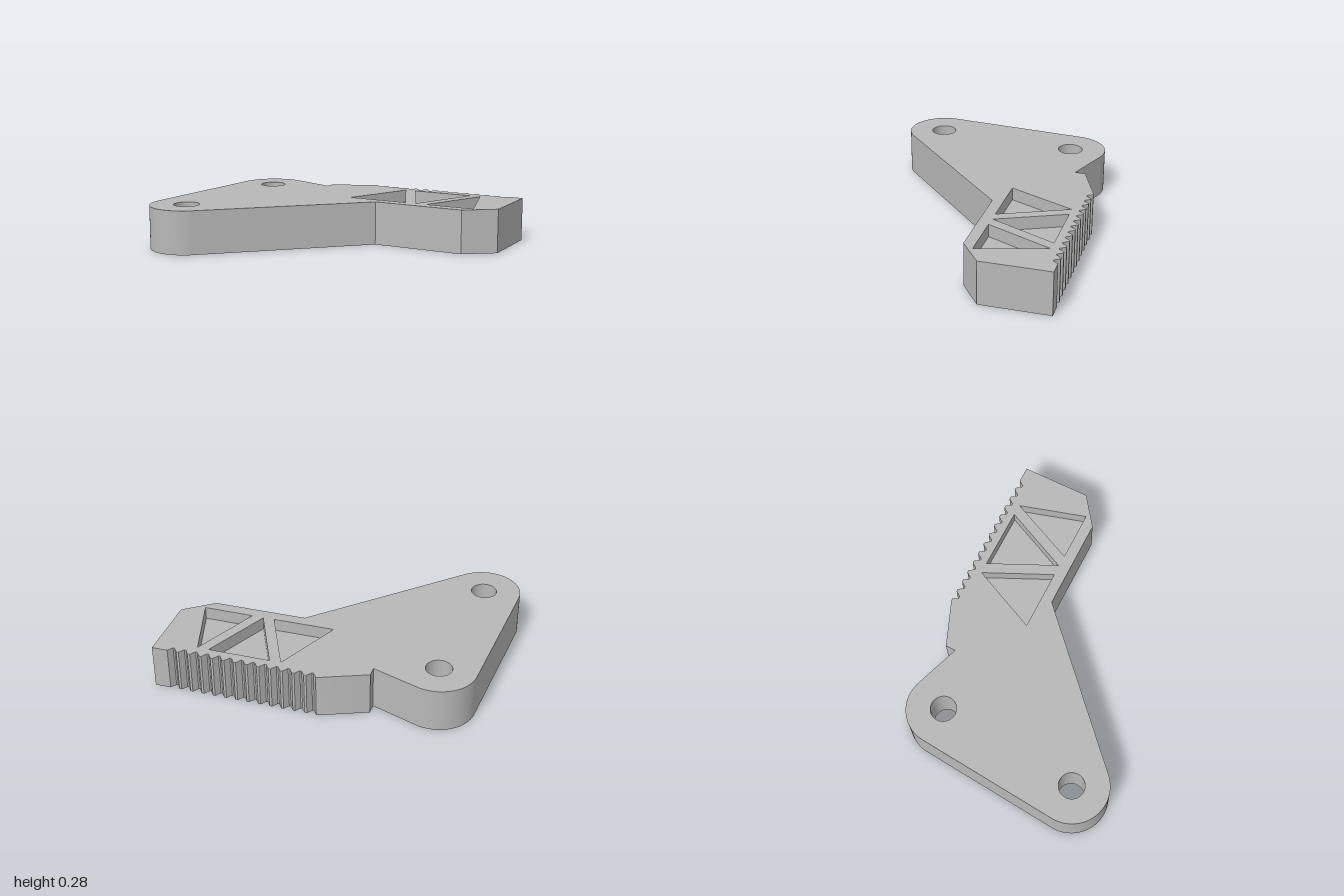
import * as THREE from 'three';
import { toCreasedNormals } from 'three/addons/utils/BufferGeometryUtils.js';

const HEIGHT = 0.275;
const POCKET_DEPTH = 0.08;
const LOBE_RADIUS = 0.23;
const HOLE_RADIUS = 0.08;

// Plan shapes use (x, -z); extruding them and laying them flat gives height in y
function slab(shape, height) {
  const geo = new THREE.ExtrudeGeometry(shape, { depth: height, bevelEnabled: false, curveSegments: 32 });
  geo.rotateX(-Math.PI / 2);
  return toCreasedNormals(geo, 0.4);
}

function polygon(points) {
  return new THREE.Shape(points.map(([x, y]) => new THREE.Vector2(x, y)));
}

export function createModel() {
  const group = new THREE.Group();
  group.name = 'toothedBracket';
  const grey = new THREE.MeshStandardMaterial({ color: 0xb8b8b8 });
  grey.name = 'plain grey';

  const backLobe = [-0.69, 0.425];
  const frontLobe = [-0.77, -0.485];
  const leftSide = Math.atan2(0.0876, -0.996);

  // Outline: arm end, underside of arm, two rounded lobes, step
  const outline = new THREE.Shape();
  outline.moveTo(1, 0.72);
  outline.lineTo(1, 0.285);
  outline.lineTo(0.815, 0.15);
  outline.lineTo(0.23, 0.15);
  outline.absarc(...frontLobe, LOBE_RADIUS, Math.atan2(-0.724, 0.69), leftSide, true);
  outline.absarc(...backLobe, LOBE_RADIUS, leftSide, Math.atan2(0.942, 0.335), true);
  outline.lineTo(-0.325, 0.54);
  outline.lineTo(-0.325, 0.605);
  outline.lineTo(-0.04, 0.72);

  // Row of notches along the back edge
  for (let i = 0; i < 13; i++) {
    const x = i * 0.0727;
    outline.lineTo(x - 0.029, 0.72);
    outline.lineTo(x - 0.005, 0.686);
    outline.lineTo(x + 0.005, 0.686);
    outline.lineTo(x + 0.029, 0.72);
  }
  outline.closePath();

  // Round mounting holes
  for (const centre of [backLobe, frontLobe]) {
    const hole = new THREE.Path();
    hole.absarc(...centre, HOLE_RADIUS, 0, Math.PI * 2, false);
    outline.holes.push(hole);
  }

  // Triangular pockets, closed from below by floor slabs
  const pockets = [
    [[0.02, 0.22], [0.405, 0.22], [0.212, 0.638]],
    [[0.475, 0.225], [0.668, 0.64], [0.283, 0.64]],
    [[0.548, 0.22], [0.862, 0.22], [0.74, 0.638]],
  ].map(polygon);

  for (const pocket of pockets) {
    outline.holes.push(new THREE.Path(pocket.getPoints()));
    const floor = new THREE.Mesh(slab(pocket, HEIGHT - POCKET_DEPTH), grey);
    floor.name = 'pocketFloor';
    group.add(floor);
  }

  const plate = new THREE.Mesh(slab(outline, HEIGHT), grey);
  plate.name = 'bracketPlate';
  group.add(plate);
  return group;
}
